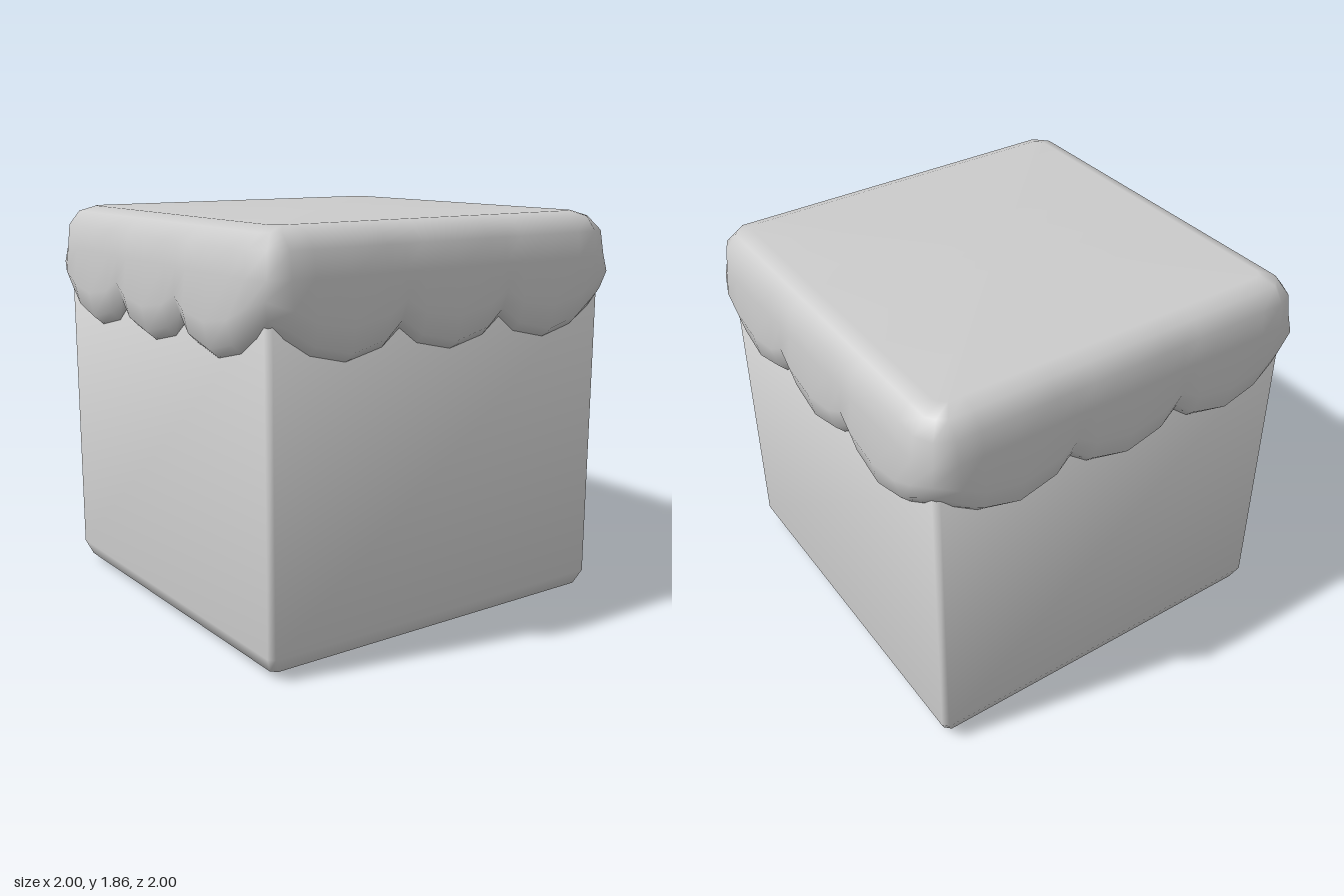
import * as THREE from 'three';

const material = new THREE.MeshStandardMaterial({ color: 0xcccccc });

// Repeats the points of one side ([along, outward]) around all four sides.
function fourSides(points) {
  const ring = [];
  for (let k = 0; k < 4; k++) {
    for (const [u, y, out] of points) {
      let x = u, z = out;
      for (let i = 0; i < k; i++) [x, z] = [z, -x];
      ring.push([x, y, z]);
    }
  }
  return ring;
}

// Skins closed rings, listed from top to bottom, and caps both ends.
function loft(name, rings) {
  const n = rings[0].length, last = rings.length - 1;
  const position = rings.flat(2), index = [];
  for (let r = 0; r < last; r++) {
    for (let j = 0; j < n; j++) {
      const a = r * n + j, b = r * n + (j + 1) % n;
      index.push(a, a + n, b, b, a + n, b + n);
    }
  }
  const top = rings.length * n, bottom = top + 1;
  position.push(0, rings[0][0][1], 0, 0, rings[last][0][1], 0);
  for (let j = 0; j < n; j++) {
    const k = (j + 1) % n;
    index.push(top, j, k, bottom, last * n + k, last * n + j);
  }
  const geometry = new THREE.BufferGeometry();
  geometry.setAttribute('position', new THREE.Float32BufferAttribute(position, 3));
  geometry.setIndex(index);
  geometry.computeVertexNormals();
  const mesh = new THREE.Mesh(geometry, material);
  mesh.name = name;
  return mesh;
}

// Square block with narrow chamfered corners and a rounded bottom edge
function createBody() {
  const profile = [[1.5, 0.925], [0.1, 0.925], [0.03, 0.895], [0, 0.835]];
  return loft('body', profile.map(([y, h]) =>
    fourSides([[-h + 0.025, y, h], [h - 0.025, y, h]])));
}

// Rounded cover whose rim hangs down in three scallops per side
function createCover() {
  const half = [[0, 1.305], [0.185, 1.348], [0.28, 1.42], [0.37, 1.348],
    [0.555, 1.305], [0.73, 1.348], [0.84, 1.42]];
  const rim = [...half.slice(1).reverse().map(([u, y]) => [-u, y]), ...half];

  // Each level gives [height, half width] from the local rim height b and droop s
  const levels = [
    () => [1.86, 0.835],
    () => [1.835, 0.905],
    () => [1.77, 0.96],
    (b, s) => [1.66, 0.972 + 0.005 * s],
    (b, s) => [b + 0.12 + 0.035 * s, 0.985 + 0.013 * s],
    (b, s) => [b + 0.04, 0.955 + 0.02 * s],
    (b) => [b, 0.927],
    (b) => [b + 0.02, 0.88],
  ];
  return loft('scallopedCover', levels.map((level, i) => {
    const side = rim.map(([u, b]) => {
      const s = THREE.MathUtils.clamp((1.42 - b) / 0.115, 0, 1);
      const [y, h] = level(b, s);
      const limit = Math.min(0.84, h - 0.04);
      return [THREE.MathUtils.clamp(u, -limit, limit), y, h];
    });
    // Corner point, set in to round the corner
    const [y, h] = level(1.46, 0);
    const corner = h - [0.015, 0.03, 0.04, 0.04, 0.04, 0.03, 0.02, 0.02][i];
    return fourSides([...side, [corner, y, corner]]);
  }));
}

export function createModel() {
  const model = new THREE.Group();
  model.name = 'coveredBlock';
  model.add(createBody(), createCover());
  return model;
}
